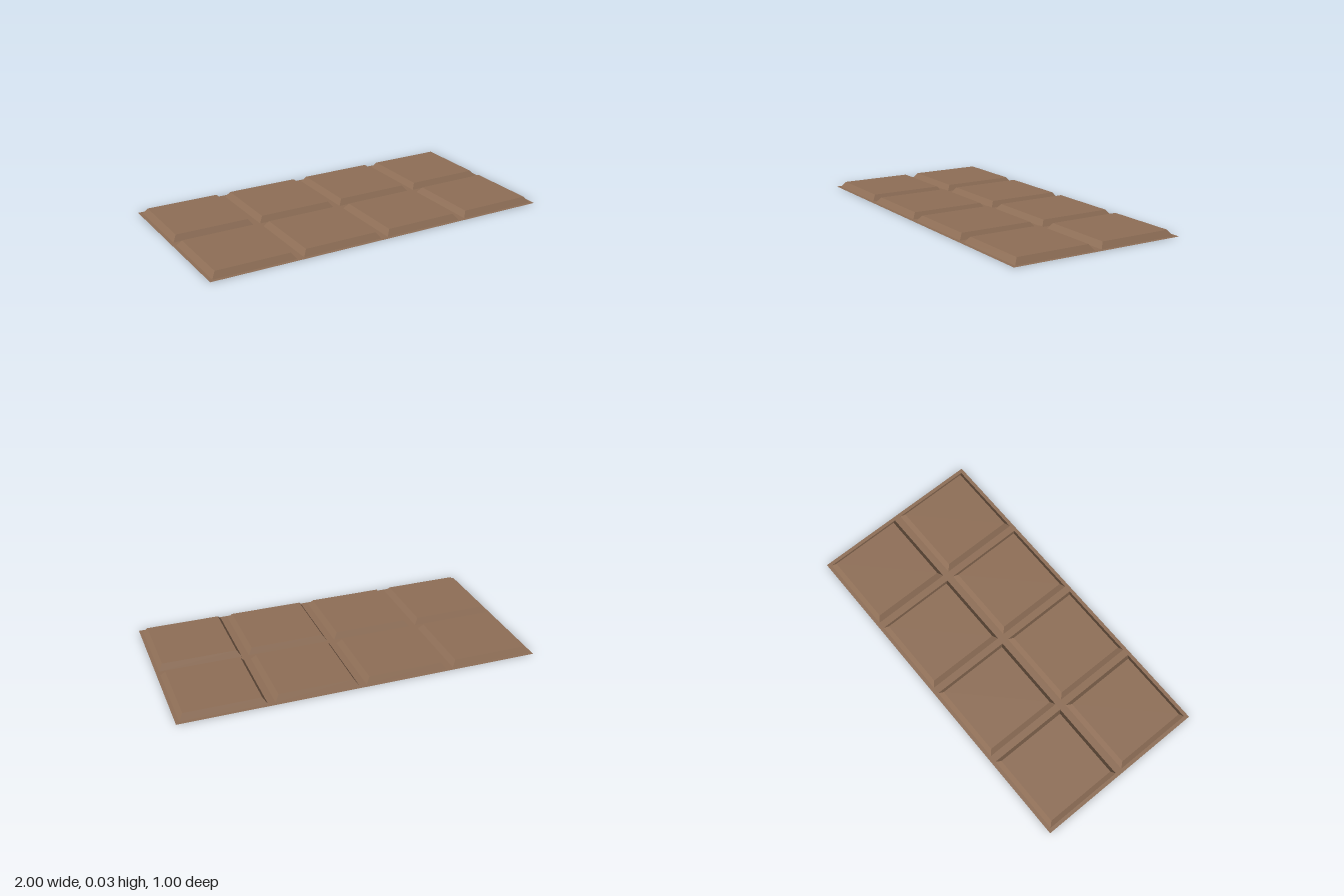
import * as THREE from 'three';

const COLS = 4, ROWS = 2, PITCH = 0.5, HEIGHT = 0.032;
const BASE_HALF = 0.23, TOP_HALF = 0.207;

export function createModel() {
  const group = new THREE.Group();
  group.name = 'panelledSheet';
  const brown = new THREE.MeshStandardMaterial({
    color: 0x8f6f57, flatShading: true, side: THREE.DoubleSide,
  });
  brown.name = 'brown';

  const add = (name, geometry, x = 0, y = 0, z = 0) => {
    const mesh = new THREE.Mesh(geometry, brown);
    mesh.name = name;
    mesh.position.set(x, y, z);
    group.add(mesh);
  };

  // Trace a rectangle onto a shape or hole path
  const rect = (path, cx, cy, hw, hh) => path
    .moveTo(cx - hw, cy - hh).lineTo(cx + hw, cy - hh)
    .lineTo(cx + hw, cy + hh).lineTo(cx - hw, cy + hh).closePath();

  const sheet = rect(new THREE.Shape(), 0, 0, COLS * PITCH / 2, ROWS * PITCH / 2);

  // Sloped walls and flat top shared by every raised, hollow panel
  const walls = new THREE.CylinderGeometry(
    TOP_HALF * Math.SQRT2, BASE_HALF * Math.SQRT2, HEIGHT, 4, 1, true).rotateY(Math.PI / 4);
  const top = new THREE.PlaneGeometry(TOP_HALF * 2, TOP_HALF * 2).rotateX(-Math.PI / 2);

  for (let i = 0; i < COLS; i++) {
    for (let j = 0; j < ROWS; j++) {
      const x = (i - (COLS - 1) / 2) * PITCH;
      const z = (j - (ROWS - 1) / 2) * PITCH;
      sheet.holes.push(rect(new THREE.Path(), x, -z, BASE_HALF, BASE_HALF));
      add('panelWalls', walls, x, HEIGHT / 2, z);
      add('panelTop', top, x, HEIGHT, z);
    }
  }

  // Thin flat grid between and around the panels, open beneath each one
  add('baseGrid', new THREE.ShapeGeometry(sheet).rotateX(-Math.PI / 2));
  return group;
}
